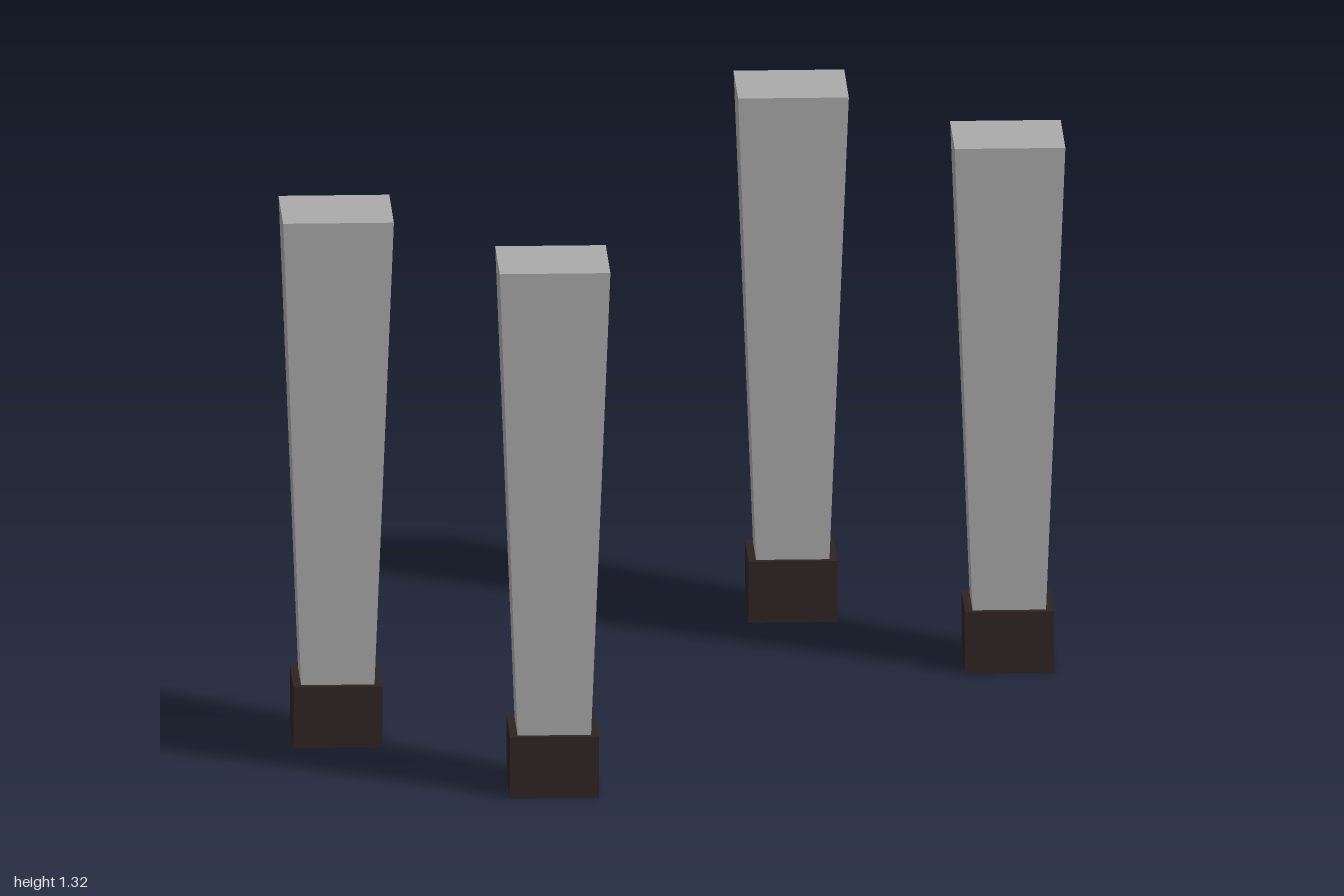
import * as THREE from 'three';

export function createModel() {
  const model = new THREE.Group();
  model.name = 'legs';

  const coat = new THREE.MeshStandardMaterial({ color: 0xaaaaaa, flatShading: true });
  coat.name = 'grey coat';
  const horn = new THREE.MeshStandardMaterial({ color: 0x2f2323, flatShading: true });
  horn.name = 'dark hoof';

  // Four-sided tapered leg, sunk a little into its hoof
  const top = 1.315, bottom = 0.105, hoofHeight = 0.152;
  const legGeometry = new THREE.CylinderGeometry(0.189, 0.123, top - bottom, 4);
  const hoofGeometry = new THREE.CylinderGeometry(0.152, 0.152, hoofHeight, 4);

  for (const [end, z] of [['front', 0.355], ['back', -0.355]]) {
    for (const [side, x] of [['Left', 0.811], ['Right', -0.811]]) {
      const limb = new THREE.Group();
      limb.name = `${end}${side}Limb`;
      limb.position.set(x, 0, z);

      const leg = new THREE.Mesh(legGeometry, coat);
      leg.name = 'leg';
      leg.position.y = (top + bottom) / 2;

      const hoof = new THREE.Mesh(hoofGeometry, horn);
      hoof.name = 'hoof';
      hoof.position.y = hoofHeight / 2;

      limb.add(leg, hoof);
      model.add(limb);
    }
  }
  return model;
}
